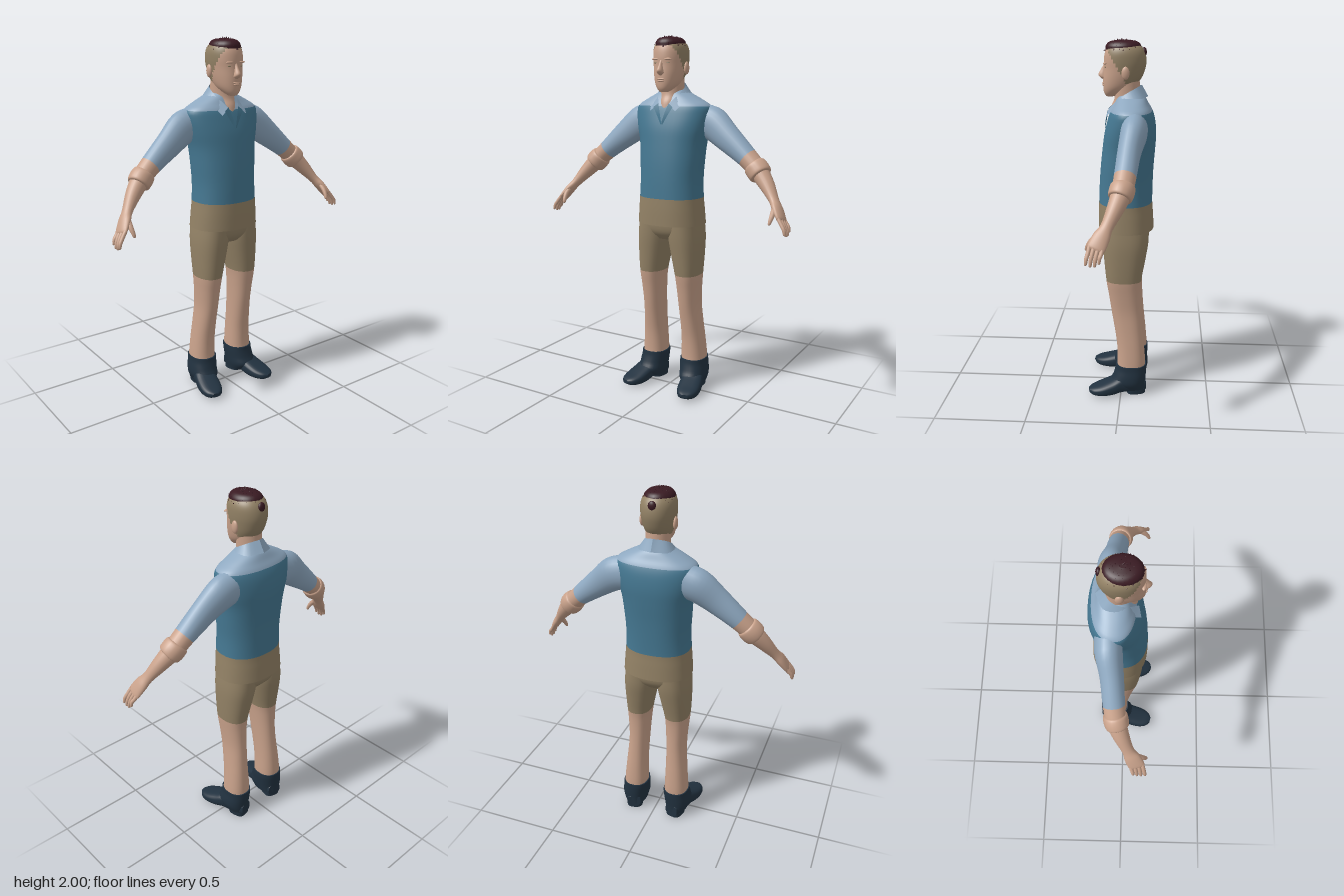
import * as THREE from 'three';

const mat = (name, color, side = THREE.FrontSide) => {
  const m = new THREE.MeshStandardMaterial({ color, side });
  m.name = name;
  return m;
};
const V = (x, y, z) => new THREE.Vector3(x, y, z);

// One closed ring: superellipse round c, spanned by u and v
function ring(c, u, v, n, e = 2) {
  const pts = [];
  for (let i = 0; i < n; i++) {
    const a = (i / n) * Math.PI * 2, co = Math.cos(a), si = Math.sin(a);
    const p = Math.sign(co) * Math.abs(co) ** (2 / e), q = Math.sign(si) * Math.abs(si) ** (2 / e);
    pts.push(c.clone().addScaledVector(u, p).addScaledVector(v, q));
  }
  return pts;
}

// Rings stacked upward, rows: [y, x0, x1, z0, z1]
const stack = (rows, n = 32, e = 2) => rows.map(([y, x0, x1, z0, z1]) =>
  ring(V((x0 + x1) / 2, y, (z0 + z1) / 2), V((x1 - x0) / 2, 0, 0), V(0, 0, (z1 - z0) / 2), n, e));

// Rings along a limb, rows: [x, y, z, radius in the xy plane, radius towards z]
const limb = (rows, n = 20) => rows.map(([x, y, z, ru, rv], i) => {
  const a = rows[Math.max(i - 1, 0)], b = rows[Math.min(i + 1, rows.length - 1)];
  const t = V(b[0] - a[0], b[1] - a[1], b[2] - a[2]).normalize();
  const u = V(-t.y, t.x, 0).normalize(), v = t.clone().cross(u);
  return ring(V(x, y, z), u.multiplyScalar(ru), v.multiplyScalar(rv), n);
});

// Smooth skin over the rings, capped; pick(t, p) chooses a material for each quad
function loft(name, rings, mats, pick = () => 0, sub = 4) {
  const n = rings[0].length, rows = (rings.length - 1) * sub, pos = [];
  const cols = rings[0].map((_, j) => new THREE.CatmullRomCurve3(rings.map(r => r[j]), false, 'catmullrom').getPoints(rows));
  for (let i = 0; i <= rows; i++) for (let j = 0; j < n; j++) pos.push(...cols[j][i].toArray());
  const list = [].concat(mats), faces = list.map(() => []);
  for (let i = 0; i < rows; i++) for (let j = 0; j < n; j++) {
    const k = (j + 1) % n, a = i * n + j, b = i * n + k, c = a + n, d = b + n;
    const mid = cols[j][i].clone().add(cols[k][i + 1]).multiplyScalar(0.5);
    faces[pick((i + 0.5) / sub, mid)].push([a, c, b], [b, c, d]);
  }
  for (const [i, end] of [[0, 0], [rows, 1]]) {
    const base = pos.length / 3, c = V(0, 0, 0);
    cols.forEach(col => { c.addScaledVector(col[i], 1 / n); pos.push(...col[i].toArray()); });
    pos.push(...c.toArray());
    const slot = faces[pick(end ? rings.length - 1.01 : 0, c)];
    for (let j = 0; j < n; j++) {
      const k = (j + 1) % n;
      slot.push(end ? [base + k, base + j, base + n] : [base + j, base + k, base + n]);
    }
  }
  // Turn faces outward using the signed volume
  const P = i => V(pos[i * 3], pos[i * 3 + 1], pos[i * 3 + 2]);
  let vol = 0;
  faces.flat().forEach(([a, b, c]) => { vol += P(a).dot(P(b).cross(P(c))); });
  if (vol < 0) faces.flat().forEach(f => f.reverse());
  const g = new THREE.BufferGeometry();
  g.setAttribute('position', new THREE.Float32BufferAttribute(pos, 3));
  g.setIndex(faces.flat(2));
  let start = 0;
  faces.forEach((f, i) => { g.addGroup(start, f.length * 3, i); start += f.length * 3; });
  g.computeVertexNormals();
  const m = new THREE.Mesh(g, list.length > 1 ? list : list[0]);
  m.name = name;
  return m;
}

// Thin sheet between two edge curves
function ribbon(name, top, bottom, material, n = 14) {
  const a = new THREE.CatmullRomCurve3(top).getPoints(n), b = new THREE.CatmullRomCurve3(bottom).getPoints(n);
  const g = new THREE.PlaneGeometry(1, 1, n, 1), p = g.attributes.position;
  [...a, ...b].forEach((q, i) => p.setXYZ(i, q.x, q.y, q.z));
  g.computeVertexNormals();
  const m = new THREE.Mesh(g, material);
  m.name = name;
  return m;
}

export function createModel() {
  const model = new THREE.Group();
  model.name = 'standingMan';
  const teal = mat('teal shirt', 0x457892, THREE.DoubleSide), blue = mat('light blue sleeve', 0x8ea8c0, THREE.DoubleSide);
  const tan = mat('tan cloth', 0x938266), skin = mat('skin', 0xc9a28b);
  const shoe = mat('dark shoe', 0x223240), hair = mat('dark hair', 0x3a1b23);
  const add = (...m) => model.add(...m);

  // Shirt body: tan hem, teal chest, light blue yoke
  const sym = (y, hx, z0, z1) => [y, -hx, hx, z0, z1];
  add(loft('shirtBody', stack([
    sym(0.97, 0.194, -0.175, 0.132), sym(1.05, 0.188, -0.17, 0.132), sym(1.12, 0.182, -0.165, 0.13),
    sym(1.22, 0.178, -0.166, 0.126), sym(1.32, 0.184, -0.17, 0.119), sym(1.42, 0.193, -0.178, 0.108),
    sym(1.5, 0.212, -0.182, 0.097), sym(1.57, 0.224, -0.175, 0.08), sym(1.62, 0.218, -0.16, 0.064),
    sym(1.655, 0.165, -0.14, 0.045), sym(1.69, 0.095, -0.122, 0.03), sym(1.71, 0.06, -0.1, 0.02),
  ], 48, 2.3), [tan, teal, blue], t => (t < 2 ? 0 : t < 8 ? 1 : 2)));

  // Seat of the shorts
  add(loft('shortsSeat', stack([
    sym(0.885, 0.1, -0.11, 0.07), sym(0.92, 0.165, -0.142, 0.1), sym(0.96, 0.183, -0.155, 0.112), sym(1.02, 0.178, -0.155, 0.115),
  ], 32, 2.4), tan));

  // Neck and head
  add(loft('neck', stack([
    sym(1.59, 0.06, -0.09, 0.071), sym(1.64, 0.062, -0.1, 0.062), sym(1.68, 0.064, -0.1, 0.045),
    sym(1.73, 0.065, -0.093, 0.042), sym(1.79, 0.066, -0.09, 0.045),
  ]), skin));
  add(loft('head', stack([
    sym(1.695, 0.022, 0.045, 0.088), sym(1.715, 0.044, -0.005, 0.1), sym(1.745, 0.065, -0.06, 0.104),
    sym(1.79, 0.079, -0.1, 0.104), sym(1.84, 0.087, -0.12, 0.1), sym(1.88, 0.091, -0.126, 0.1),
    sym(1.92, 0.09, -0.12, 0.095), sym(1.95, 0.078, -0.104, 0.082), sym(1.972, 0.05, -0.075, 0.055), sym(1.98, 0.01, -0.02, 0.0),
  ], 48, 2.1), [skin, tan], (t, p) => (p.y > 1.765 && p.z < (p.y - 1.8) * 0.6 - 0.005 ? 1 : 0)));
  add(loft('nose', stack([
    sym(1.783, 0.01, 0.08, 0.106), sym(1.795, 0.019, 0.08, 0.122), sym(1.81, 0.017, 0.08, 0.13),
    sym(1.835, 0.011, 0.08, 0.116), sym(1.862, 0.008, 0.08, 0.101),
  ], 16), skin));
  const blob = (name, x, y, z, sx, sy, sz, m) => {
    const b = new THREE.Mesh(new THREE.SphereGeometry(1, 16, 12), m);
    b.name = name;
    b.position.set(x, y, z);
    b.scale.set(sx, sy, sz);
    add(b);
  };
  blob('upperLip', 0, 1.764, 0.102, 0.024, 0.005, 0.008, skin);
  blob('lowerLip', 0, 1.754, 0.101, 0.021, 0.006, 0.009, skin);

  // Hair cap with short seeded tufts
  add(loft('hairCap', stack([
    sym(1.938, 0.078, -0.098, 0.091), sym(1.96, 0.076, -0.097, 0.088), sym(1.98, 0.055, -0.075, 0.066), sym(1.988, 0.012, -0.02, 0.01),
  ], 24), hair));
  let seed = 7;
  const rnd = () => (seed = (seed * 16807) % 2147483647) / 2147483647;
  for (let i = 0; i < 90; i++) {
    const a = i * 2.39996, r = Math.sqrt((i + 0.5) / 90), tuft = new THREE.Mesh(new THREE.ConeGeometry(0.013, 0.034, 5), hair);
    tuft.name = 'hairTuft';
    tuft.position.set(Math.cos(a) * r * 0.077, 1.982 - 0.045 * r ** 3 - rnd() * 0.008, -0.005 + Math.sin(a) * r * 0.093);
    tuft.rotation.set(Math.sin(a) * r * 1.3 + rnd() - 0.5, 0, -Math.cos(a) * r * 1.3 + rnd() - 0.5);
    add(tuft);
  }
  blob('napeTuft', 0, 1.925, -0.113, 0.022, 0.026, 0.014, hair);

  for (const s of [1, -1]) {
    const side = s > 0 ? 'left' : 'right';
    const flip = rings => rings.map(r => r.map(p => V(p.x * s, p.y, p.z)));
    const M = pts => pts.map(([x, y, z]) => V(x * s, y, z));

    // Face details
    blob(side + 'Ear', s * 0.09, 1.822, -0.02, 0.012, 0.034, 0.021, skin);
    blob(side + 'Brow', s * 0.036, 1.868, 0.09, 0.026, 0.006, 0.011, skin);
    blob(side + 'Eye', s * 0.035, 1.849, 0.0885, 0.014, 0.004, 0.006, tan);

    // Collar half and neck opening
    add(ribbon(side + 'Collar', M([[0, 1.755, -0.103], [0.06, 1.738, -0.065], [0.072, 1.7, 0], [0.032, 1.632, 0.073]]),
      M([[0, 1.695, -0.137], [0.088, 1.685, -0.09], [0.108, 1.662, 0], [0.078, 1.595, 0.085]]), blue));
    add(ribbon(side + 'Lapel', M([[0.032, 1.636, 0.074], [0.015, 1.585, 0.088], [0, 1.53, 0.098]]),
      M([[0.06, 1.615, 0.08], [0.035, 1.575, 0.087], [0.004, 1.52, 0.096]]), teal, 6));

    // Arm: sleeve, bare forearm and palm
    add(loft(side + 'Arm', flip(limb([
      [0.15, 1.545, -0.072, 0.095, 0.07], [0.235, 1.522, -0.07, 0.092, 0.069], [0.33, 1.45, -0.053, 0.075, 0.06],
      [0.45, 1.355, -0.04, 0.056, 0.056], [0.52, 1.29, -0.027, 0.05, 0.052], [0.58, 1.225, 0, 0.04, 0.042],
      [0.635, 1.155, 0.035, 0.025, 0.032], [0.665, 1.115, 0.058, 0.023, 0.043], [0.695, 1.07, 0.08, 0.016, 0.045],
      [0.702, 1.058, 0.086, 0.008, 0.036],
    ], 24)), [blue, skin], t => (t < 3 ? 0 : 1)));
    add(loft(side + 'RolledCuff', flip(limb([
      [0.488, 1.322, -0.034, 0.05, 0.052], [0.494, 1.316, -0.033, 0.06, 0.062], [0.515, 1.295, -0.028, 0.064, 0.064],
      [0.536, 1.273, -0.02, 0.06, 0.06], [0.541, 1.268, -0.018, 0.046, 0.048],
    ], 24)), skin));

    // Fingers and thumb
    for (let i = 0; i < 4; i++) {
      const z = 0.048 + i * 0.021, drop = [0.015, 0, 0, 0.008][i], r = 0.0105;
      add(loft(side + 'Finger', flip(limb([
        [0.69, 1.078, z, r, r], [0.714, 1.045, z + 0.008, r, r], [0.728, 1.015 + drop, z + 0.014, r * 0.9, r * 0.9],
        [0.733, 0.993 + drop, z + 0.016, r * 0.7, r * 0.7], [0.734, 0.988 + drop, z + 0.016, 0.003, 0.003],
      ], 10)), skin, undefined, 2));
    }
    add(loft(side + 'Thumb', flip(limb([
      [0.655, 1.125, 0.075, 0.014, 0.014], [0.658, 1.095, 0.105, 0.014, 0.014], [0.655, 1.068, 0.124, 0.011, 0.011],
      [0.652, 1.048, 0.132, 0.008, 0.008], [0.651, 1.043, 0.133, 0.003, 0.003],
    ], 10)), skin, undefined, 2));

    // Leg: bare to the knee, shorts above
    add(loft(side + 'Leg', flip(stack([
      [0.14, 0.06, 0.2, -0.138, 0.025], [0.2, 0.06, 0.197, -0.138, 0.021], [0.3, 0.063, 0.188, -0.13, 0.024],
      [0.4, 0.063, 0.179, -0.12, 0.038], [0.5, 0.06, 0.173, -0.112, 0.055], [0.6, 0.054, 0.178, -0.108, 0.07],
      [0.685, 0.045, 0.185, -0.112, 0.084], [0.8, 0.022, 0.19, -0.132, 0.096], [0.9, 0.004, 0.19, -0.148, 0.105],
      [1.0, 0.0, 0.18, -0.15, 0.108],
    ], 32, 2.3)), [skin, tan], t => (t < 6 ? 0 : 1)));

    // Shoe: ankle shaft, splayed foot and heel block
    add(loft(side + 'ShoeShaft', flip(stack([
      [0.03, 0.07, 0.195, -0.138, 0.03], [0.07, 0.062, 0.212, -0.14, 0.06], [0.11, 0.058, 0.212, -0.143, 0.045],
      [0.15, 0.054, 0.206, -0.145, 0.034], [0.178, 0.054, 0.204, -0.145, 0.03],
    ], 32, 2.3)), shoe));
    const foot = new THREE.Group();
    foot.name = side + 'Foot';
    foot.position.set(s * 0.135, 0, -0.08);
    foot.rotation.y = s * 0.23;
    const along = stack([
      [-0.058, -0.04, 0.04, 0.012, 0.085], [0, -0.056, 0.056, 0.012, 0.11], [0.08, -0.06, 0.06, 0.014, 0.112],
      [0.14, -0.065, 0.065, 0.003, 0.088], [0.2, -0.062, 0.062, 0.002, 0.066], [0.245, -0.045, 0.045, 0.008, 0.052],
      [0.268, -0.018, 0.018, 0.02, 0.042],
    ], 28, 2.8).map(r => r.map(p => V(p.x, p.z, p.y)));
    foot.add(loft('shoeUpper', along, shoe));
    foot.add(loft('shoeHeel', stack([sym(0, 0.048, -0.058, 0.05), sym(0.03, 0.05, -0.058, 0.055)], 24, 3), shoe, undefined, 1));
    add(foot);
  }
  return model;
}
